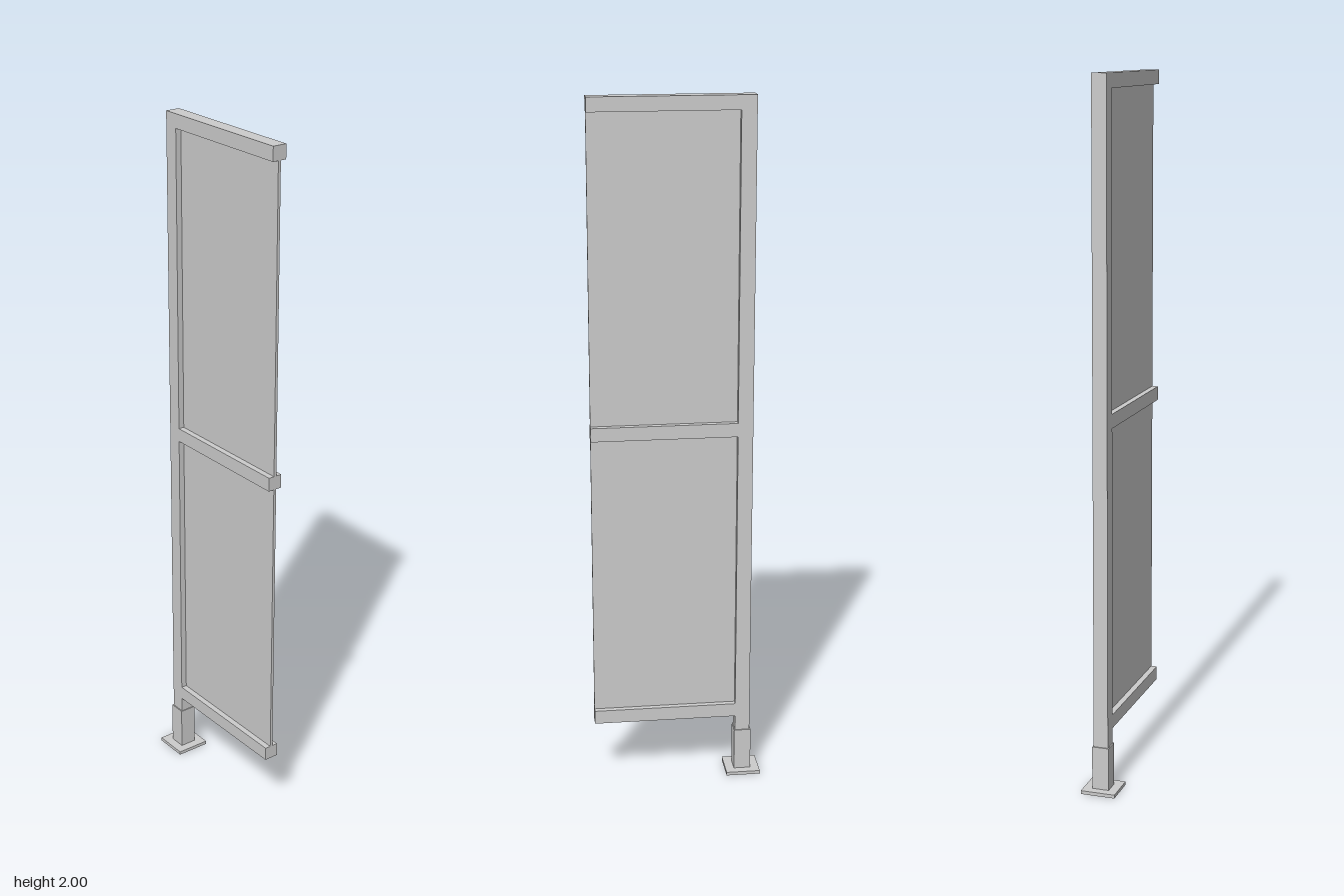
import * as THREE from 'three';

export function createModel() {
  const group = new THREE.Group();
  const material = new THREE.MeshStandardMaterial({ color: 0xcccccc, flatShading: true });

  // Box centred on x, spanning y0..y1 and z0..z1
  const addBox = (name, width, y0, y1, z0, z1) => {
    const mesh = new THREE.Mesh(new THREE.BoxGeometry(width, y1 - y0, z1 - z0), material);
    mesh.name = name;
    mesh.position.set(0, (y0 + y1) / 2, (z0 + z1) / 2);
    group.add(mesh);
  };

  const postZ = -0.195, postInner = -0.173, end = 0.243;

  // Foot: floor plate and sleeve holding the post
  addBox('basePlate', 0.1, 0, 0.01, postZ - 0.05, postZ + 0.05);
  addBox('postSleeve', 0.049, 0.01, 0.135, postZ - 0.0245, postZ + 0.0245);

  // Upright post
  addBox('post', 0.042, 0.01, 2, -0.216, postInner);

  // Horizontal rails
  const railBottoms = [0.18, 1.048, 1.96];
  const railHeight = 0.04;
  for (const y of railBottoms) addBox('rail', 0.042, y, y + railHeight, postInner, end);

  // Thin infill panels between the rails
  for (let i = 0; i < 2; i++) {
    addBox('panel', 0.008, railBottoms[i] + railHeight, railBottoms[i + 1], postInner, end);
  }

  return group;
}
